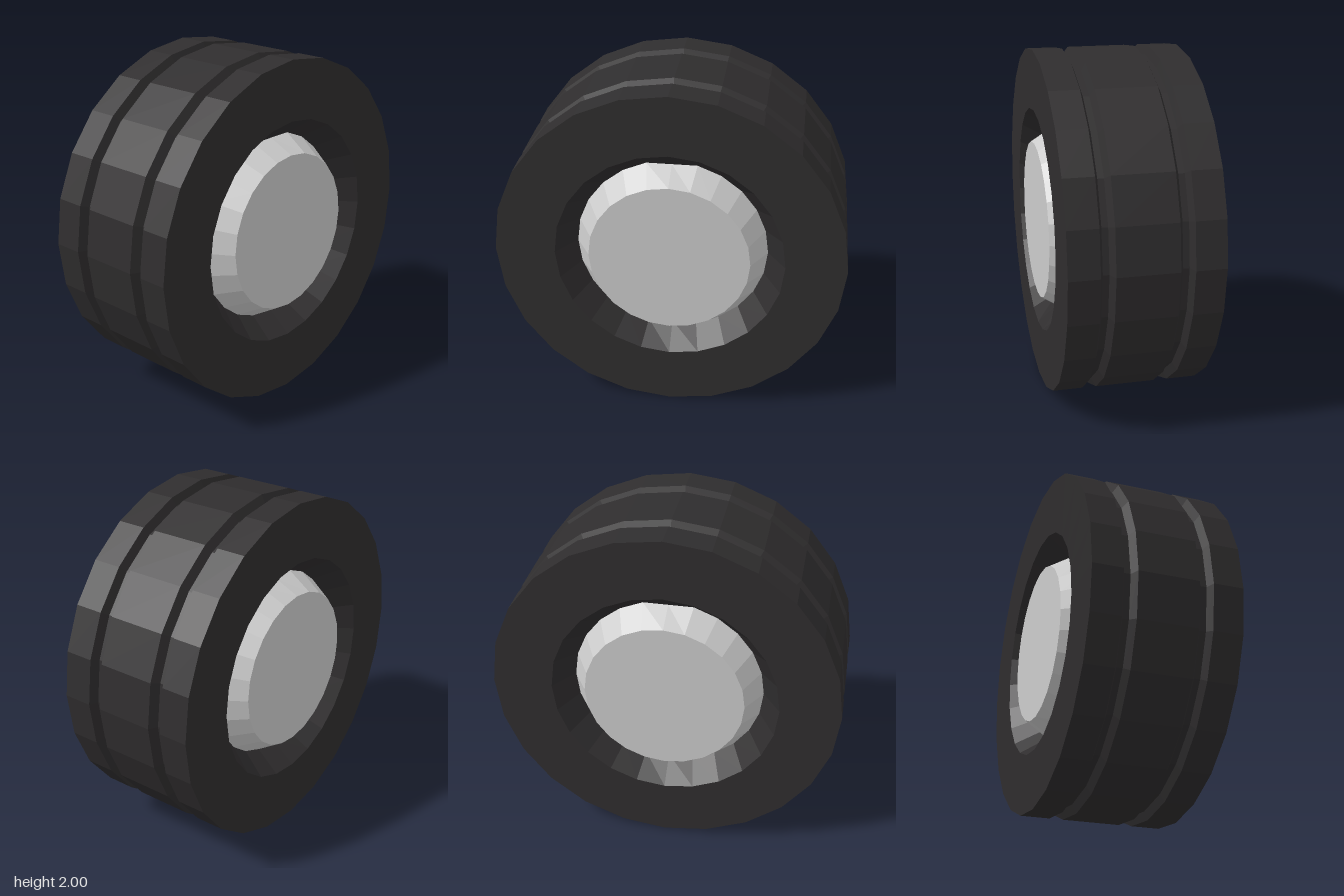
import * as THREE from 'three';

const SIDES = 24;
const SEAT = 0.55; // radius where tyre and hub meet

// Revolve [radius, z] points around the z axis.
function revolve(name, color, profile) {
  const geo = new THREE.LatheGeometry(profile.map(([r, z]) => new THREE.Vector2(r, z)), SIDES);
  geo.rotateX(Math.PI / 2);

  // The seat edge is flattened at its topmost and bottommost corner.
  const p = geo.attributes.position;
  for (let i = 0; i < p.count; i++) {
    const y = p.getY(i);
    if (Math.abs(p.getX(i)) < 0.01 && Math.abs(Math.abs(y) - SEAT) < 0.01) {
      p.setY(i, Math.sign(y) * SEAT * Math.cos((2 * Math.PI) / SIDES));
    }
  }
  geo.computeVertexNormals();

  const mesh = new THREE.Mesh(geo, new THREE.MeshStandardMaterial({ color, flatShading: true }));
  mesh.name = name;
  mesh.position.y = 1;
  return mesh;
}

// Complete a front half profile with its mirrored back half, running back to front.
const mirrored = (half) => [...half.map(([r, z]) => [r, -z]).reverse(), ...half];

export function createModel() {
  const model = new THREE.Group();
  model.name = 'wheel';

  // Tyre: tread with two grooves, flat sidewalls, funnel-shaped opening
  const tyreHalf = [
    [1, 0.17], [0.95, 0.195], [0.95, 0.23], [1, 0.25],
    [1, 0.42], [0.655, 0.42], [SEAT, 0.27],
  ];
  model.add(revolve('tyre', 0x2f2d2e, mirrored(tyreHalf)));

  // Hub: barrel tapering to a flat disc on each side
  const hubHalf = [[SEAT, 0.27], [0.46, 0.42], [0, 0.42]];
  model.add(revolve('hub', 0xcccccc, mirrored(hubHalf)));

  return model;
}
